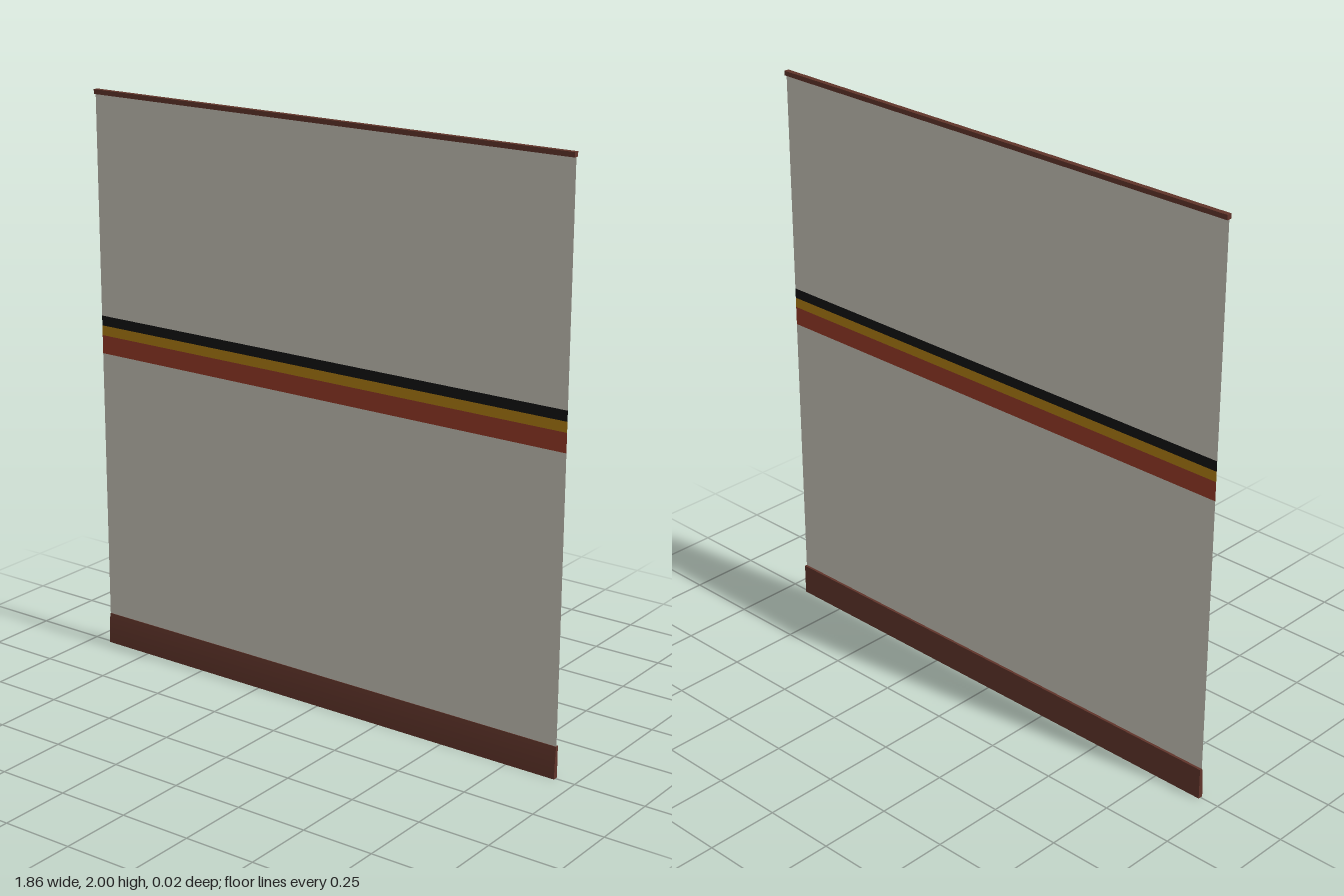
import * as THREE from 'three';

const WIDTH = 1.86;

function makeMaterial(name, color, side = THREE.FrontSide) {
  const m = new THREE.MeshStandardMaterial({ color, side });
  m.name = name;
  return m;
}

export function createModel() {
  const group = new THREE.Group();
  group.name = 'wallPanel';

  const plaster = makeMaterial('plaster', 0xc6c2b7, THREE.DoubleSide);
  const black = makeMaterial('blackPaint', 0x121212, THREE.DoubleSide);
  const ochre = makeMaterial('ochrePaint', 0xae7c12, THREE.DoubleSide);
  const rust = makeMaterial('rustPaint', 0x963a28, THREE.DoubleSide);
  const wood = makeMaterial('darkWood', 0x60342a);

  const add = (name, geometry, material) => {
    const mesh = new THREE.Mesh(geometry, material);
    mesh.name = name;
    group.add(mesh);
    return mesh;
  };

  // Thin wall sheet, divided into horizontal bands seen from both sides
  const bands = [
    ['lowerWall', 0.01, 1.08, plaster],
    ['rustStripe', 1.08, 1.145, rust],
    ['ochreStripe', 1.145, 1.18, ochre],
    ['blackStripe', 1.18, 1.215, black],
    ['upperWall', 1.215, 1.99, plaster],
  ];
  for (const [name, y0, y1, material] of bands) {
    add(name, new THREE.PlaneGeometry(WIDTH, y1 - y0), material).position.y = (y0 + y1) / 2;
  }

  // Top rail
  add('topRail', new THREE.BoxGeometry(WIDTH, 0.016, 0.018), wood).position.y = 1.992;

  // Skirting board: flat back, front swelling toward the floor
  const profile = new THREE.Shape();
  profile.moveTo(0.009, 0);
  profile.lineTo(0.009, 0.11);
  profile.lineTo(-0.002, 0.11);
  profile.quadraticCurveTo(-0.008, 0.06, -0.009, 0);
  profile.closePath();
  const skirting = new THREE.ExtrudeGeometry(profile, { depth: WIDTH, bevelEnabled: false, curveSegments: 6 });
  skirting.translate(0, 0, -WIDTH / 2);
  skirting.rotateY(Math.PI / 2); // profile x becomes -z
  add('skirtingBoard', skirting, wood);

  return group;
}
